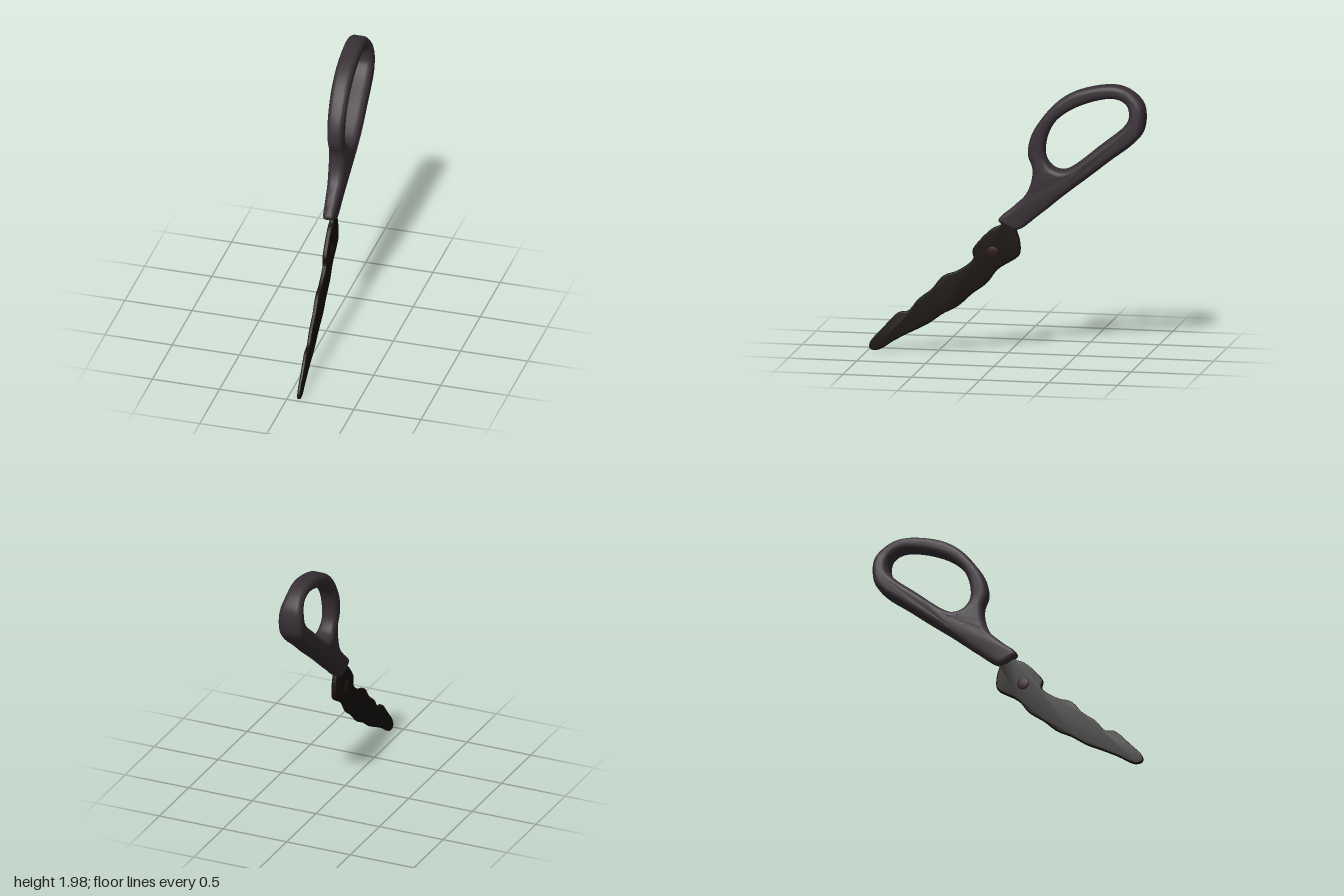
import * as THREE from 'three';
import { mergeVertices, toCreasedNormals } from 'three/addons/utils/BufferGeometryUtils.js';

const handleMaterial = new THREE.MeshStandardMaterial({ color: 0x383035 });
const bladeMaterial = new THREE.MeshStandardMaterial({ color: 0x17110f });
const screwMaterial = new THREE.MeshStandardMaterial({ color: 0x2c1614 });

// Closed smooth outline through [z, y] pairs; shape x runs towards the back
function outline(pairs, count) {
  const points = pairs.map(([z, y]) => new THREE.Vector3(-z, y, 0));
  const curve = new THREE.CatmullRomCurve3(points, true, 'centripetal');
  return curve.getPoints(count).slice(0, count).map(p => new THREE.Vector2(p.x, p.y));
}

// Rounded plate of half thickness 1, given its real thickness by rule(a, b) -> [centre, half]
function plate(shape, bevel, bevelDepth, segments, rule, crease) {
  let geo = new THREE.ExtrudeGeometry(shape, {
    depth: 2 - 2 * bevelDepth, bevelEnabled: true, bevelThickness: bevelDepth,
    bevelSize: bevel, bevelOffset: -bevel, bevelSegments: segments, steps: 2,
  });
  geo.translate(0, 0, -(1 - bevelDepth));
  const pos = geo.attributes.position;
  for (let i = 0; i < pos.count; i++) {
    const [centre, half] = rule(pos.getX(i), pos.getY(i));
    pos.setZ(i, centre + half * pos.getZ(i));
  }
  geo.deleteAttribute('uv');
  geo.deleteAttribute('normal');
  geo = mergeVertices(geo, 1e-5);
  geo.rotateY(Math.PI / 2);
  return toCreasedNormals(geo, crease);
}

// Handle: wide along the straight lower arm, slimmer around the finger loop
function makeHandle() {
  const shape = new THREE.Shape(outline([
    [0.06, 0.985], [-0.04, 1.08], [-0.14, 1.18], [-0.18, 1.28], [-0.185, 1.37], [-0.153, 1.47],
    [-0.175, 1.6], [-0.24, 1.715], [-0.357, 1.85], [-0.507, 1.94], [-0.764, 1.99], [-0.89, 1.955],
    [-0.98, 1.866], [-1, 1.76], [-0.98, 1.65], [-0.91, 1.566], [-0.764, 1.455], [-0.614, 1.335],
    [-0.427, 1.19], [-0.24, 1.035], [-0.07, 0.915], [0.02, 0.945],
  ], 110));
  shape.holes.push(new THREE.Path(outline([
    [-0.276, 1.544], [-0.28, 1.45], [-0.335, 1.378], [-0.41, 1.362], [-0.48, 1.394], [-0.668, 1.544],
    [-0.845, 1.69], [-0.887, 1.76], [-0.87, 1.85], [-0.785, 1.893], [-0.614, 1.866], [-0.427, 1.78],
    [-0.32, 1.673],
  ], 70)));
  const rule = (a, b) => {
    const along = (a - 0.07) * 0.788 + (b - 0.91) * 0.615;
    const across = (b - 0.91) * 0.788 - (a - 0.07) * 0.615;
    const half = 0.045 + 0.047 * THREE.MathUtils.smoothstep(along, -0.05, 0.75);
    const slim = 1 - 0.27 * THREE.MathUtils.smoothstep(across, 0.1, 0.32);
    return [0.026 - 0.033 * along, half * slim];
  };
  return new THREE.Mesh(plate(shape, 0.04, 0.55, 6, rule, 0.9), handleMaterial);
}

// Blade: thin uneven plate leaning sideways towards the tip, with a broad pivot end
const bladeCentre = z => 0.05 + 0.036 * z;
function makeBlade() {
  const shape = new THREE.Shape(outline([
    [0.03, 1.0], [0.04, 0.955], [0.1, 0.925], [0.19, 0.84], [0.245, 0.76], [0.24, 0.7], [0.35, 0.61],
    [0.46, 0.565], [0.54, 0.47], [0.64, 0.39], [0.71, 0.305], [0.78, 0.29], [0.89, 0.18],
    [0.99, 0.06], [0.985, 0.018], [0.93, 0.012], [0.81, 0.085], [0.71, 0.14], [0.565, 0.215],
    [0.46, 0.29], [0.35, 0.35], [0.245, 0.445], [0.14, 0.525], [0.062, 0.627], [-0.085, 0.725],
    [-0.1, 0.76], [-0.095, 0.845], [-0.07, 0.93], [-0.06, 1.0],
  ], 130));
  const rule = a => [bladeCentre(-a), 0.019 - 0.007 * THREE.MathUtils.clamp(-a, 0, 1)];
  return new THREE.Mesh(plate(shape, 0.012, 0.5, 3, rule, 0.7), bladeMaterial);
}

// Pivot screw: low domed head on each face of the blade
function makeScrew() {
  const profile = [[0, 0.025], [0.025, 0.024], [0.04, 0.021], [0.046, 0.017], [0.046, 0]]
    .map(([r, h]) => new THREE.Vector2(r, h)).reverse();
  const head = new THREE.LatheGeometry(profile, 28);
  const screw = new THREE.Group();
  for (const side of [1, -1]) {
    const mesh = new THREE.Mesh(head, screwMaterial);
    mesh.name = side > 0 ? 'leftScrewHead' : 'rightScrewHead';
    mesh.rotation.z = -side * Math.PI / 2;
    mesh.position.set(bladeCentre(0.1), 0.75, 0.1);
    screw.add(mesh);
  }
  return screw;
}

export function createModel() {
  const model = new THREE.Group();
  model.name = 'scissorHalf';
  const parts = { handle: makeHandle(), blade: makeBlade(), pivotScrew: makeScrew() };
  for (const [name, part] of Object.entries(parts)) {
    part.name = name;
    model.add(part);
  }
  return model;
}
